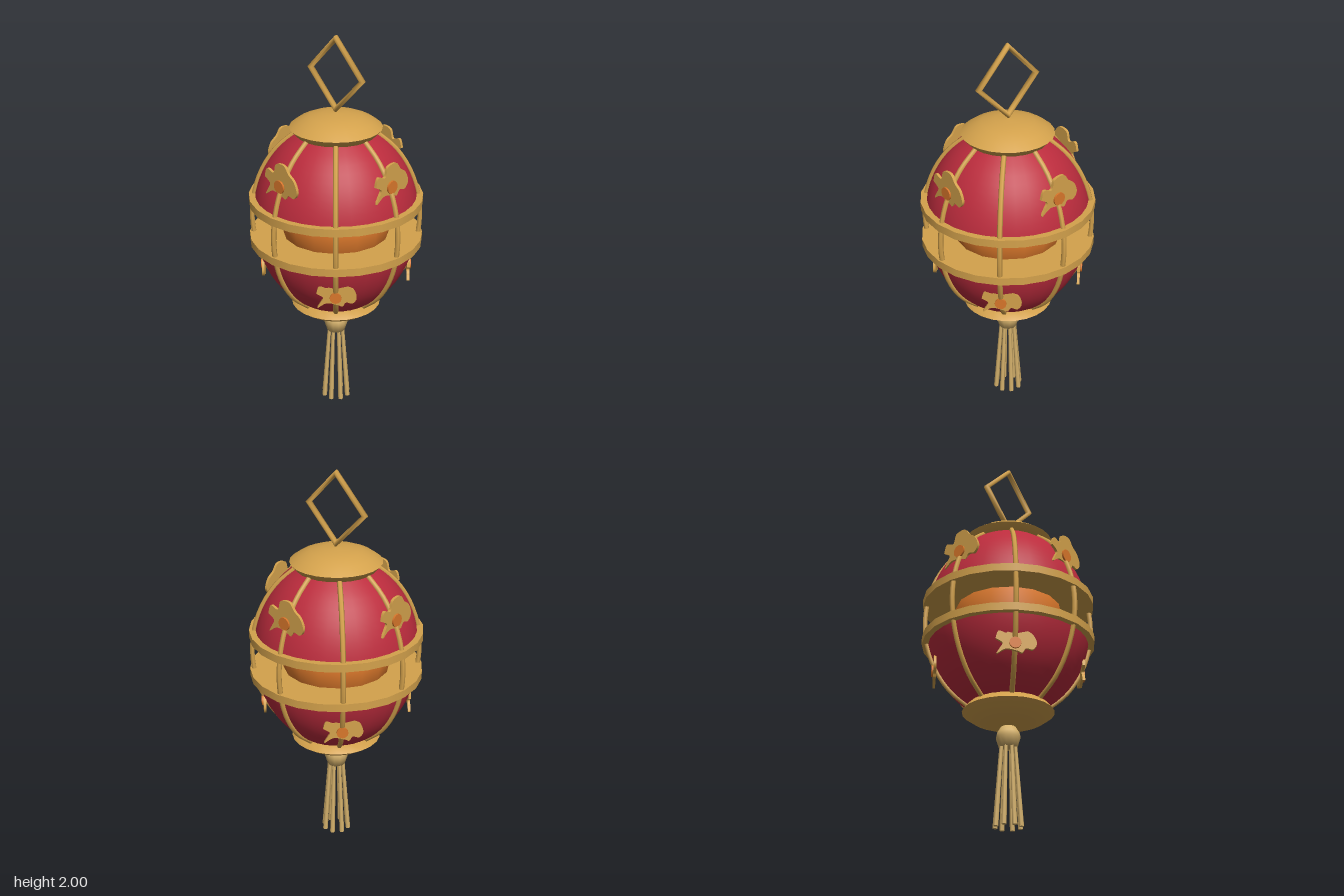
import * as THREE from 'three';

const mat = (name, color) => {
  const m = new THREE.MeshStandardMaterial({ color });
  m.name = name;
  return m;
};

export function createModel() {
  const gold = mat('gold', 0xd4a24c);
  const red = mat('red paper', 0xbc2c3d);
  const orange = mat('orange glow', 0xd9772b);
  const tan = mat('tassel thread', 0xd6b26c);

  const root = new THREE.Group();
  root.name = 'lantern';
  const add = (parent, name, geo, material, x = 0, y = 0, z = 0) => {
    const mesh = new THREE.Mesh(geo, material);
    mesh.name = name;
    mesh.position.set(x, y, z);
    parent.add(mesh);
    return mesh;
  };
  const lathe = (pts, seg = 24) =>
    new THREE.LatheGeometry(pts.map(([r, y]) => new THREE.Vector2(r, y)), seg);

  // Body is an ellipsoid of revolution around MID
  const MID = 1.06, RX = 0.418, RY = 0.508;
  const bodyRadius = (y, rx = RX) => rx * Math.sqrt(1 - ((y - MID) / RY) ** 2);

  // Red paper shells above and below the open band
  const shell = (y0, y1) => {
    const pts = [];
    for (let i = 0; i <= 10; i++) {
      const y = y0 + (y1 - y0) * i / 10;
      pts.push([bodyRadius(y), y]);
    }
    return lathe(pts, 32);
  };
  add(root, 'upperShell', shell(1.165, 1.51), red);
  add(root, 'lowerShell', shell(0.61, 0.955), red);

  // Solid discs that close the shells and form the hoops
  for (const [name, y] of [['upperHoop', 1.165], ['lowerHoop', 0.955]]) {
    add(root, name, new THREE.CylinderGeometry(0.438, 0.438, 0.04, 24), gold, 0, y, 0);
  }

  // Glowing core between the discs
  add(root, 'core', new THREE.SphereGeometry(0.285, 16, 8), orange, 0, MID, 0);

  // Eight curved ribs
  const ribPts = [];
  for (let i = 0; i <= 12; i++) {
    const y = 0.61 + 0.9 * i / 12;
    ribPts.push(new THREE.Vector3(0, y, bodyRadius(y, 0.424)));
  }
  const ribGeo = new THREE.TubeGeometry(new THREE.CatmullRomCurve3(ribPts), 24, 0.013, 6);
  for (let i = 0; i < 8; i++) {
    add(root, 'rib', ribGeo, gold).rotation.y = i * Math.PI / 4;
  }

  // End caps: tapered collar plus a shallow dome, mirrored for the bottom
  const cap = (name, y, flip) => {
    const g = new THREE.Group();
    g.name = name;
    g.position.y = y;
    if (flip) g.rotation.x = Math.PI;
    add(g, 'collar', lathe([[0, -0.04], [0.195, -0.04], [0.23, 0]]), gold);
    add(g, 'dome', lathe([[0.23, 0], [0.185, 0.032], [0.13, 0.055], [0.065, 0.067], [0, 0.07]]), gold);
    root.add(g);
  };
  cap('topCap', 1.54, false);
  cap('bottomCap', 0.58, true);

  // Diamond hanging loop
  add(root, 'hangingLoop', new THREE.TorusGeometry(0.176, 0.0165, 8, 4), gold, 0, 1.805, 0);

  // Blossom ornaments: four above, four smaller ones below on the diagonals
  const outline = [
    [-0.107, 0.025], [-0.09, 0.07], [-0.045, 0.06], [-0.025, 0.108], [0.03, 0.115],
    [0.062, 0.078], [0.098, 0.05], [0.117, 0], [0.095, -0.035], [0.058, -0.03],
    [0.038, -0.055], [0.01, -0.045], [-0.05, -0.035], [-0.1, -0.064], [-0.083, -0.03], [-0.07, 0],
  ].map(([x, y]) => new THREE.Vector2(x, y));
  const petals = new THREE.Shape();
  petals.moveTo(outline[0].x, outline[0].y);
  petals.splineThru([...outline.slice(1), outline[0].clone()]);
  const petalGeo = new THREE.ExtrudeGeometry(petals, { depth: 0.014, bevelEnabled: false, curveSegments: 32 });
  const budGeo = new THREE.CylinderGeometry(0.033, 0.033, 0.022, 12).rotateX(Math.PI / 2);
  const blossom = (name, y, angle, scale) => {
    const g = new THREE.Group();
    g.name = name;
    g.position.set(Math.sin(angle) * 0.362, y, Math.cos(angle) * 0.362);
    g.rotation.y = angle;
    g.scale.set(scale, scale, 1);
    add(g, 'petals', petalGeo, gold);
    add(g, 'bud', budGeo, orange, 0, 0, 0.012);
    root.add(g);
  };
  for (let i = 0; i < 4; i++) {
    blossom('upperBlossom', 1.33, i * Math.PI / 2, 1);
    blossom('lowerBlossom', 0.79, (i + 0.5) * Math.PI / 2, 0.88);
  }

  // Tassel knot and splayed threads
  add(root, 'tasselKnot', lathe([[0, 0.4], [0.046, 0.4], [0.062, 0.45], [0.056, 0.475], [0.037, 0.505], [0, 0.515]], 12), tan);
  const up = new THREE.Vector3(0, 1, 0);
  for (let i = 0; i < 8; i++) {
    const a = (i + 0.5) * Math.PI / 4;
    const top = new THREE.Vector3(Math.cos(a) * 0.036, 0.42, Math.sin(a) * 0.036);
    const foot = new THREE.Vector3(Math.cos(a) * 0.066, 0.002, Math.sin(a) * 0.066);
    const dir = top.clone().sub(foot);
    const thread = add(root, 'tasselThread', new THREE.CylinderGeometry(0.009, 0.013, dir.length(), 6), tan);
    thread.position.copy(top).add(foot).multiplyScalar(0.5);
    thread.quaternion.setFromUnitVectors(up, dir.normalize());
  }
  return root;
}
